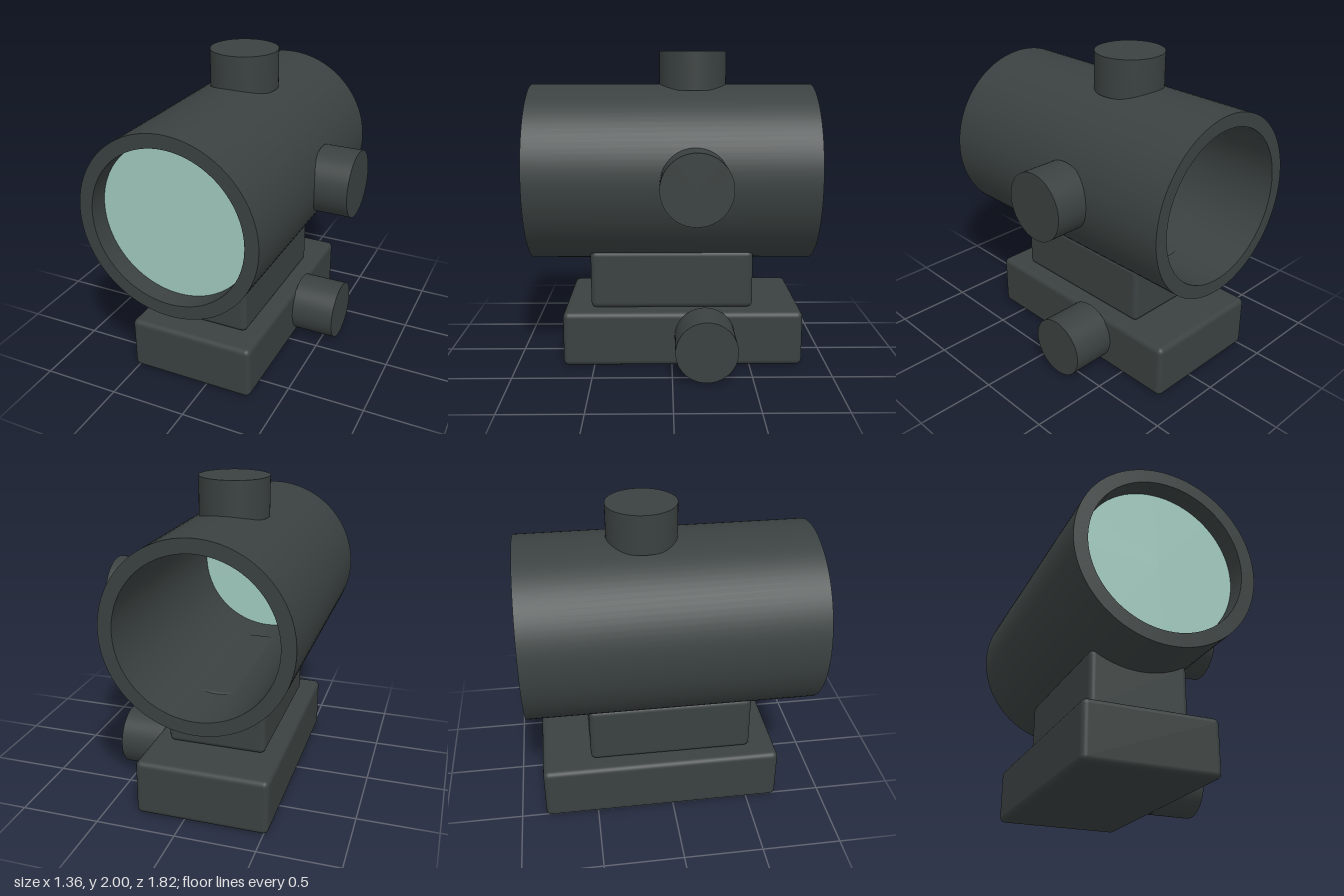
import * as THREE from 'three';
import { mergeGeometries } from 'three/addons/utils/BufferGeometryUtils.js';
import { RoundedBoxGeometry } from 'three/addons/geometries/RoundedBoxGeometry.js';

const TUBE = { x: -0.107, y: 1.213, outer: 0.576, inner: 0.49, half: 0.91 };

export function createModel() {
  const model = new THREE.Group();
  model.name = 'tubeSight';
  const body = new THREE.MeshStandardMaterial({ color: 0x3a4140 });
  body.name = 'dark housing';
  const glass = new THREE.MeshStandardMaterial({ color: 0x9fc8bd });
  glass.name = 'pale green glass';

  const add = (name, geometry, material, x, y, z) => {
    const mesh = new THREE.Mesh(geometry, material);
    mesh.name = name;
    mesh.position.set(x, y, z);
    model.add(mesh);
    return mesh;
  };

  // Hollow housing: each side of the wall profile is its own lathe, so rims stay sharp
  const { outer, inner, half } = TUBE;
  const wall = [[outer, -half], [outer, half], [inner, half], [inner, -half]]
    .map(([r, y]) => new THREE.Vector2(r, y));
  const housing = mergeGeometries(
    wall.map((p, i) => new THREE.LatheGeometry([p, wall[(i + 1) % 4]], 96))
  ).rotateX(Math.PI / 2);
  add('housingTube', housing, body, TUBE.x, TUBE.y, 0);

  // Front lens, set back inside the rim
  const lens = new THREE.CylinderGeometry(inner, inner, 0.008, 96).rotateX(Math.PI / 2);
  add('frontLens', lens, glass, TUBE.x, TUBE.y, 0.78);

  // Softly rounded mount blocks, given by their min and max corners
  const block = (name, [x0, y0, z0], [x1, y1, z1]) => add(
    name, new RoundedBoxGeometry(x1 - x0, y1 - y0, z1 - z0, 3, 0.035), body,
    (x0 + x1) / 2, (y0 + y1) / 2, (z0 + z1) / 2);
  block('mountRiser', [-0.42, 0.355, -0.525], [0.205, 0.735, 0.525]);
  block('mountBase', [-0.527, 0, -0.84], [0.31, 0.355, 0.7]);

  // Round adjustment knobs; sideways ones point along +x
  const knob = (name, radius, length, sideways, x, y, z) => {
    const geometry = new THREE.CylinderGeometry(radius, radius, length, 64);
    if (sideways) geometry.rotateZ(-Math.PI / 2);
    add(name, geometry, body, x, y, z);
  };
  knob('topKnob', 0.217, 0.245, false, TUBE.x, 1.8775, -0.14);
  knob('sideKnob', 0.217, 0.245, true, 0.5575, TUBE.y, -0.14);
  knob('clampKnob', 0.193, 0.29, true, 0.45, 0.197, -0.21);

  return model;
}
